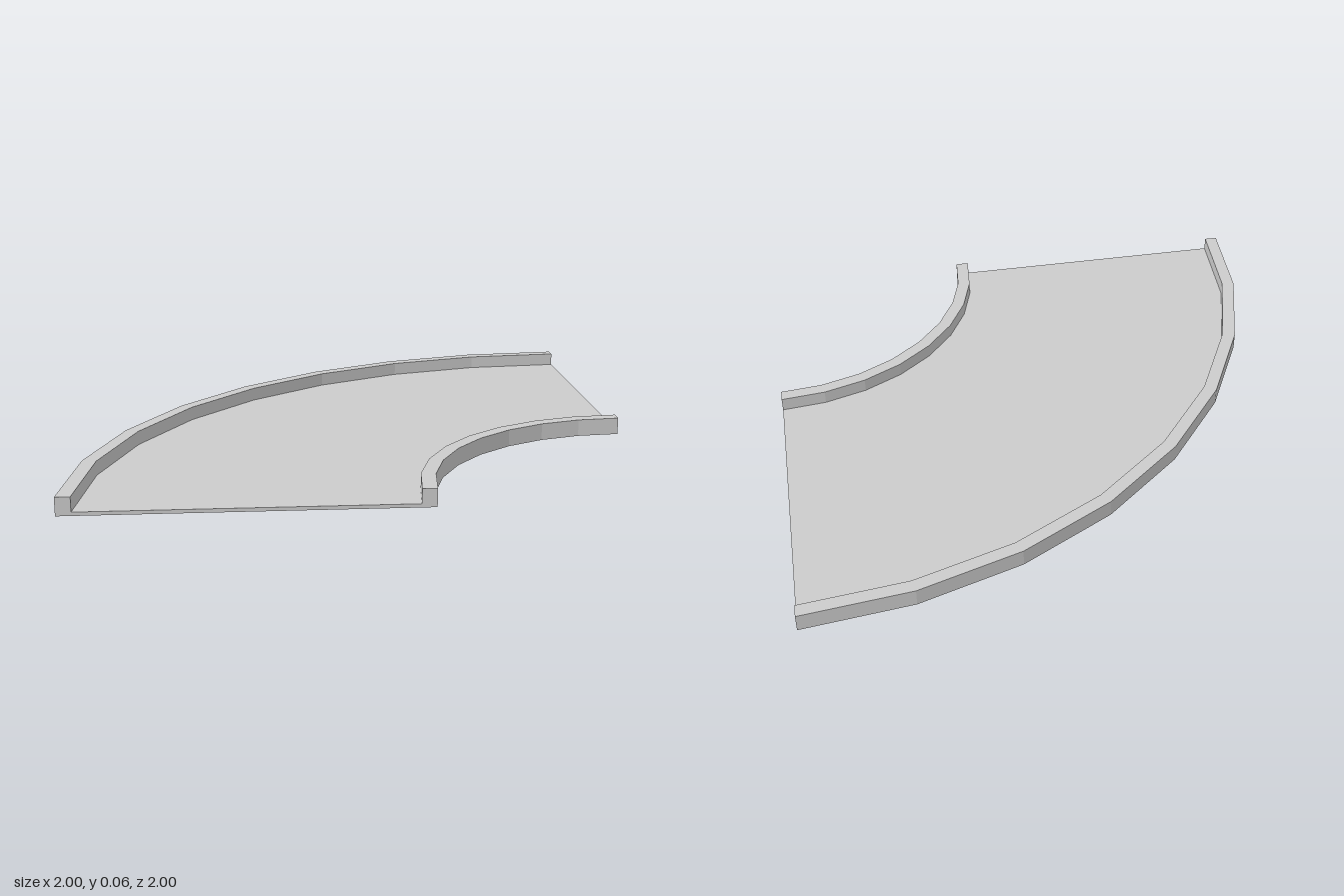
import * as THREE from 'three';

const SEGMENTS = 8;

// Flat-sided quarter ring between two radii, bending around the corner (1, 1)
function quarterRing(name, inner, outer, height, material) {
  const points = [];
  const arc = (radius, i) => {
    const a = Math.PI / 2 * (1 + i / SEGMENTS);
    points.push(new THREE.Vector2(1 + radius * Math.cos(a), -1 + radius * Math.sin(a)));
  };
  for (let i = 0; i <= SEGMENTS; i++) arc(outer, i);
  for (let i = SEGMENTS; i >= 0; i--) arc(inner, i);
  const geometry = new THREE.ExtrudeGeometry(new THREE.Shape(points), { depth: height, bevelEnabled: false });
  geometry.rotateX(-Math.PI / 2);
  const mesh = new THREE.Mesh(geometry, material);
  mesh.name = name;
  return mesh;
}

export function createModel() {
  const material = new THREE.MeshStandardMaterial({ color: 0xcccccc, flatShading: true });
  const group = new THREE.Group();
  group.name = 'curvedTrack';
  group.add(
    quarterRing('trackFloor', 0.85, 1.95, 0.0125, material),
    quarterRing('innerWall', 0.8, 0.85, 0.0625, material),
    quarterRing('outerWall', 1.95, 2, 0.0625, material)
  );
  return group;
}
